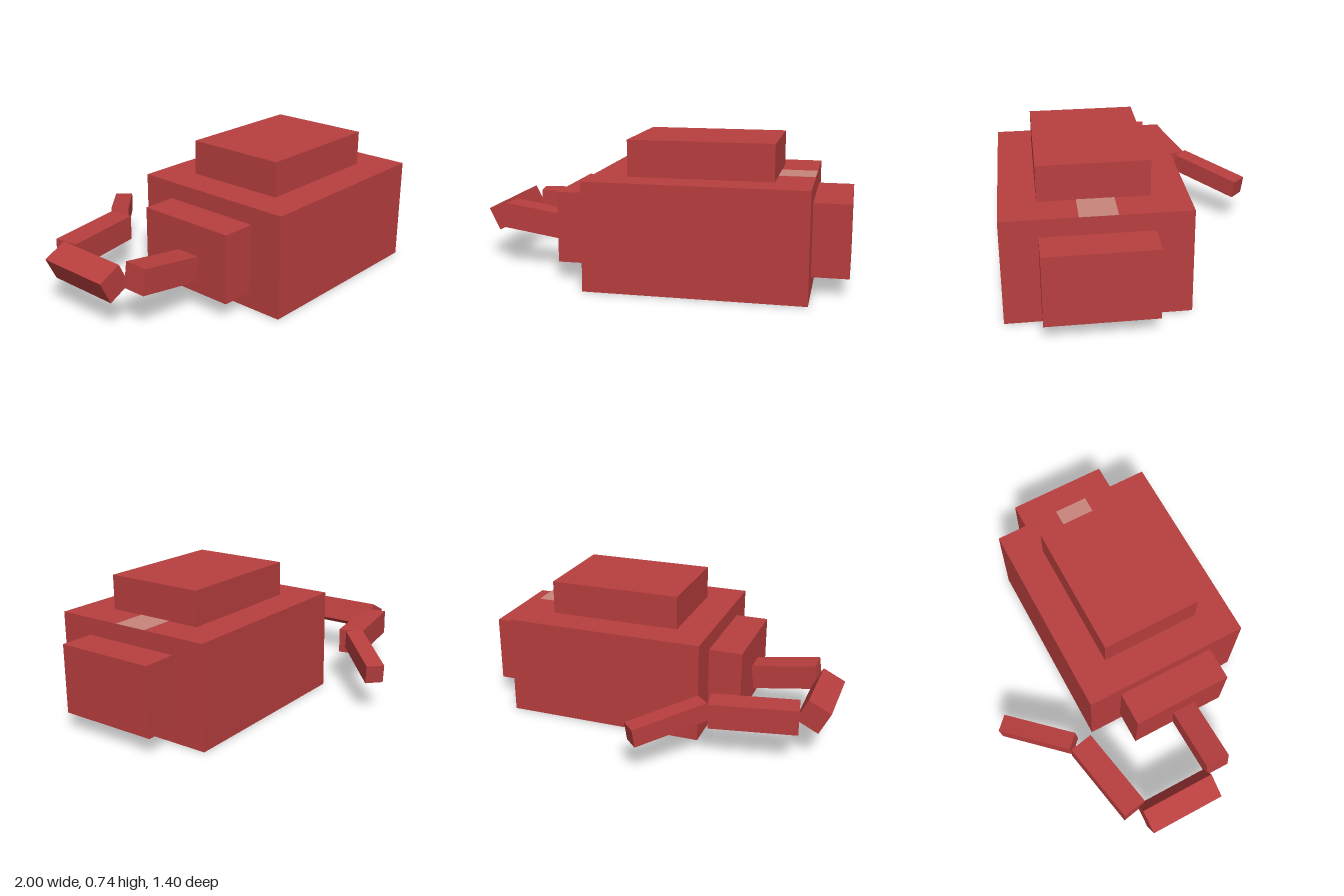
import * as THREE from 'three';

export function createModel() {
  const model = new THREE.Group();
  const red = new THREE.MeshStandardMaterial({ color: 0xb83e3e });
  red.name = 'red';
  const pale = new THREE.MeshStandardMaterial({ color: 0xc8857c });
  pale.name = 'pale pink';

  // Box by size and centre, with optional rotation
  function box(name, size, centre, rotation = [0, 0, 0], material = red) {
    const mesh = new THREE.Mesh(new THREE.BoxGeometry(...size), material);
    mesh.name = name;
    mesh.position.set(...centre);
    mesh.rotation.set(...rotation);
    model.add(mesh);
  }

  // Main block, raised top and the two end blocks
  box('body', [1.105, 0.552, 0.92], [0.26, 0.278, 0.24]);
  box('topBlock', [0.735, 0.186, 0.553], [0.26, 0.647, 0.24]);
  for (const side of [-1, 1]) {
    box(side > 0 ? 'leftBlock' : 'rightBlock', [0.185, 0.368, 0.553], [0.26 + side * 0.645, 0.278, 0.24]);
  }

  // Pale square patches on the top and underside
  box('topPatch', [0.184, 0.002, 0.186], [0.72, 0.555, 0.234], [0, 0, 0], pale);
  box('bottomPatch', [0.184, 0.002, 0.186], [0.72, 0.001, 0.234], [0, 0, 0], pale);

  // Jointed tail curling round to the back
  box('tailBase', [0.364, 0.135, 0.135], [-0.663, 0.255, 0.262], [0, 0, -0.15]);
  box('tailBend', [0.135, 0.135, 0.415], [-0.909, 0.255, -0.013], [0, 0, 0.464]);
  box('tailMiddle', [0.459, 0.136, 0.133], [-0.617, 0.255, -0.293], [0, 0.187, 0]);
  box('tailTip', [0.418, 0.1, 0.096], [-0.225, 0.254, -0.515], [0, Math.PI / 4, -0.15]);

  return model;
}
